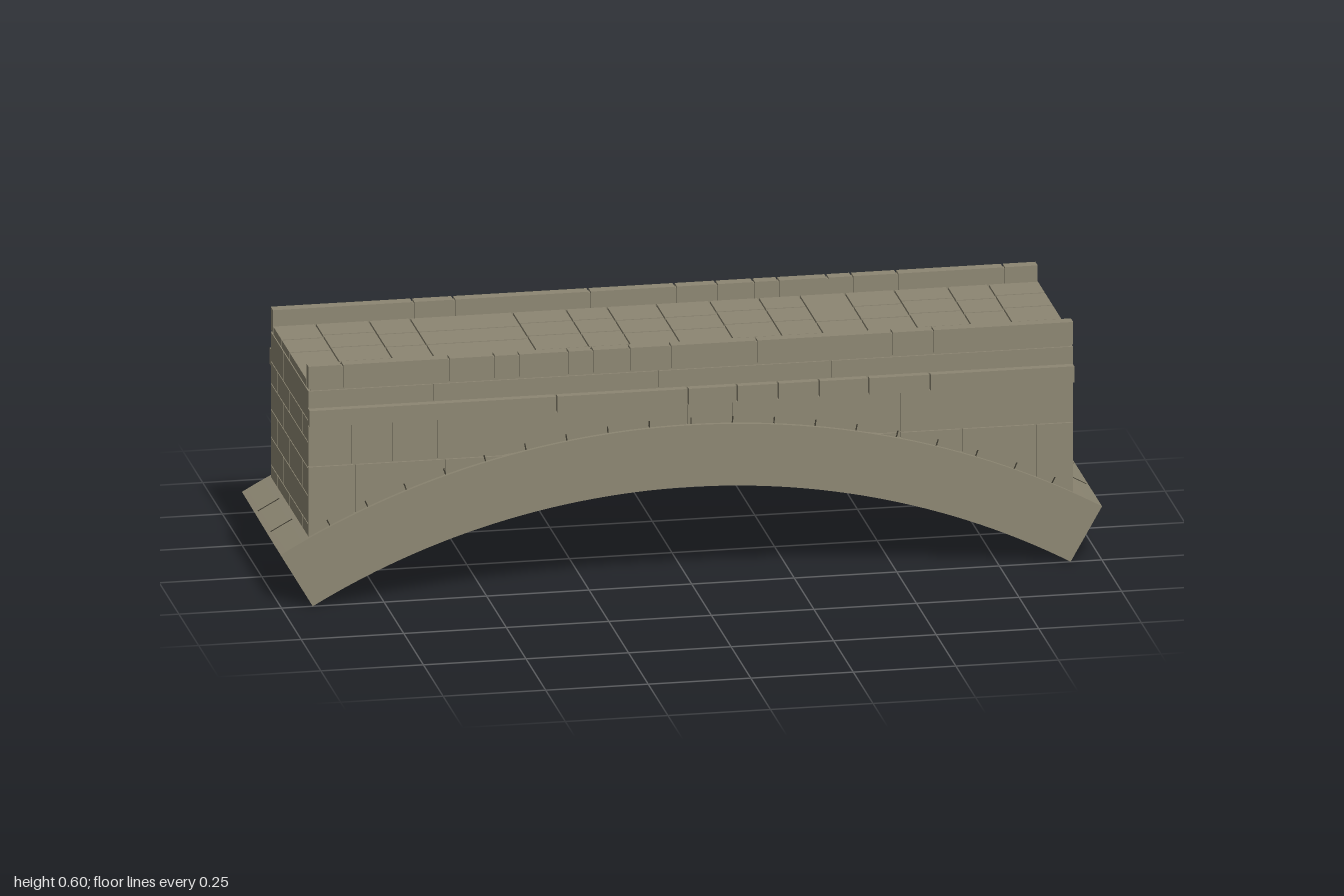
import * as THREE from 'three';

const CY = -1.619, RI = 1.869, RO = 2.024, A = 0.517; // arch centre, radii, half angle
const HX = 0.932, GAP = 0.005;                        // half length of the walls, joint width
const archY = x => CY + Math.sqrt(RO * RO - x * x);

const stone = new THREE.MeshStandardMaterial({ color: 0x8c8672 });
stone.name = 'stone';
const shell = new THREE.MeshStandardMaterial({ color: 0x8c8672, side: THREE.DoubleSide });
shell.name = 'arch stone';
const mortar = new THREE.MeshStandardMaterial({ color: 0x3c392e });
mortar.name = 'dark joint';

function add(parent, name, geometry, material = stone) {
  const mesh = new THREE.Mesh(geometry, material);
  mesh.name = name;
  parent.add(mesh);
  return mesh;
}

function group(parent, name) {
  const g = new THREE.Group();
  g.name = name;
  parent.add(g);
  return g;
}

// box given by its limits
function block(parent, name, x0, x1, y0, y1, z0, z1) {
  const g = new THREE.BoxGeometry(x1 - x0, y1 - y0, z1 - z0);
  g.translate((x0 + x1) / 2, (y0 + y1) / 2, (z0 + z1) / 2);
  return add(parent, name, g);
}

// slab whose underside follows the arch wherever the arch rises above y0
function archedSlab(parent, name, x0, x1, y0, y1, z0, z1) {
  const n = Math.max(2, Math.ceil((x1 - x0) / 0.04));
  const s = new THREE.Shape();
  s.moveTo(x1, y1);
  s.lineTo(x0, y1);
  for (let i = 0; i <= n; i++) {
    const x = x0 + (x1 - x0) * i / n;
    s.lineTo(x, Math.min(y1 - 0.0005, Math.max(y0, archY(x))));
  }
  const g = new THREE.ExtrudeGeometry(s, { depth: z1 - z0, bevelEnabled: false });
  g.translate(0, 0, z0);
  add(parent, name, g);
}

// calls make(a, b) for each stone between joints, leaving open joints
function course(from, to, joints, make) {
  const e = [from, ...joints, to];
  for (let i = 0; i + 1 < e.length; i++)
    make(e[i] + (i ? GAP / 2 : 0), e[i + 1] - (i + 2 < e.length ? GAP / 2 : 0));
}

function buildArch(parent) {
  const arch = group(parent, 'arch');
  for (const [name, r] of [['archTop', RO], ['archUnderside', RI]]) {
    const g = new THREE.CylinderGeometry(r, r, 0.5, 56, 1, true, -A, 2 * A);
    g.rotateX(-Math.PI / 2).translate(0, CY, 0);
    add(arch, name, g, shell);
  }
  for (const turn of [0, Math.PI]) {
    const g = new THREE.RingGeometry(RI, RO, 56, 1, Math.PI / 2 - A, 2 * A);
    g.translate(0, 0, 0.25).rotateY(turn).translate(0, CY, 0);
    add(arch, 'archFace', g, shell);
  }
  // staggered joints under the arch, and on its exposed ends
  const rows = 28, step = 2 * A / rows;
  for (let i = 0; i < rows; i++) {
    const a = -A + (i + 0.5) * step;
    const slit = (r, z, len) => {
      const m = add(arch, 'archJoint', new THREE.BoxGeometry(len, 0.002, 0.003), mortar);
      m.position.set(Math.sin(a) * r, CY + Math.cos(a) * r, z);
      m.rotation.z = -a;
    };
    for (const z of i % 2 ? [0.128, -0.038] : [0.082, -0.082]) slit(RI, z, 0.056);
    if (i === 0 || i === rows - 1) for (const z of [0.082, -0.082]) slit(RO, z, 0.06);
  }
}

function buildSide(parent, name) {
  const side = group(parent, name);
  // face courses: bottom, top, front depth, joints
  const courses = [
    [0.16, 0.355, 0.24, [-0.82, -0.6, 0.51, 0.66, 0.84]],
    [0.355, 0.457, 0.24, [-0.83, -0.73, -0.62, -0.01, 0.1, 0.51]],
    [0.457, 0.501, 0.254, [-0.33, -0.01, 0.11, 0.21, 0.31, 0.43, 0.58]],
    [0.501, 0.546, 0.24, [-0.63, -0.08, 0.34]],
  ];
  for (const [y0, y1, z, joints] of courses) {
    const top = y1 - 0.003;
    const xc = top < RO + CY ? Math.sqrt(RO * RO - (top - CY) ** 2) : 0;
    course(-HX, HX, joints, (a, b) => {
      const slab = (p, q) => q - p > 0.002 && archedSlab(side, z > 0.25 ? 'bandStone' : 'wallStone', p, q, y0, top, 0.234, z);
      if (!xc) return slab(a, b);
      slab(a, Math.min(b, -xc));
      slab(Math.max(a, xc), b);
    });
  }
  // short joints where the wall meets the arch
  for (let i = -9; i <= 9; i++) {
    const a = i * 0.05, r = RO + 0.008;
    const m = add(side, 'archTick', new THREE.BoxGeometry(0.003, 0.016, 0.002), mortar);
    m.position.set(Math.sin(a) * r, CY + Math.cos(a) * r, 0.24);
    m.rotation.z = -a;
  }
  // parapet
  course(-HX, HX, [-0.85, -0.59, -0.48, -0.42, -0.3, -0.24, -0.15, -0.05, 0.16, 0.49, 0.59],
    (a, b) => block(side, 'parapetStone', a, b, 0.548, 0.605, 0.211, 0.24));
  block(side, 'parapetBed', -HX + 0.006, HX - 0.006, 0.54, 0.6, 0.216, 0.235);
  return side;
}

function buildEnd(parent, name) {
  const end = group(parent, name);
  const levels = [0.176, 0.21, 0.28, 0.35, 0.415, 0.47, 0.545];
  for (let i = 0; i < 6; i++)
    course(-0.234, 0.234, i % 2 ? [-0.08, 0.08] : [-0.16, 0, 0.16],
      (a, b) => block(end, 'endStone', HX - 0.006, HX, levels[i], levels[i + 1] - 0.003, a, b));
  return end;
}

function buildDeck(parent) {
  const deck = group(parent, 'deck');
  block(deck, 'deckBed', -HX + 0.003, HX - 0.003, 0.54, 0.559, -0.205, 0.205);
  const edges = [-0.83, -0.7, -0.6, -0.35, -0.22, -0.12, 0, 0.13, 0.25, 0.35, 0.46, 0.58, 0.71, 0.81];
  const even = [-0.1, 0, 0.12], odd = [-0.12, -0.02, 0.09];
  const rows = [[-0.1, 0], odd, [-0.1, 0, 0.1], even, odd, odd, even, [-0.1, 0], odd, odd, [0], even, odd, even, odd];
  let i = 0;
  course(-HX, HX, edges, (a, b) => {
    course(-0.208, 0.208, rows[i++], (c, d) => block(deck, 'pavingStone', a, b, 0.546, 0.565, c, d));
  });
}

export function createModel() {
  const bridge = new THREE.Group();
  bridge.name = 'stoneBridge';
  buildArch(bridge);
  // solid core behind the facing stones
  archedSlab(bridge, 'core', -HX + 0.006, HX - 0.006, 0.16, 0.545, -0.234, 0.234);
  buildSide(bridge, 'frontWall');
  buildSide(bridge, 'backWall').rotation.y = Math.PI;
  buildEnd(bridge, 'leftEnd');
  buildEnd(bridge, 'rightEnd').rotation.y = Math.PI;
  buildDeck(bridge);
  return bridge;
}
